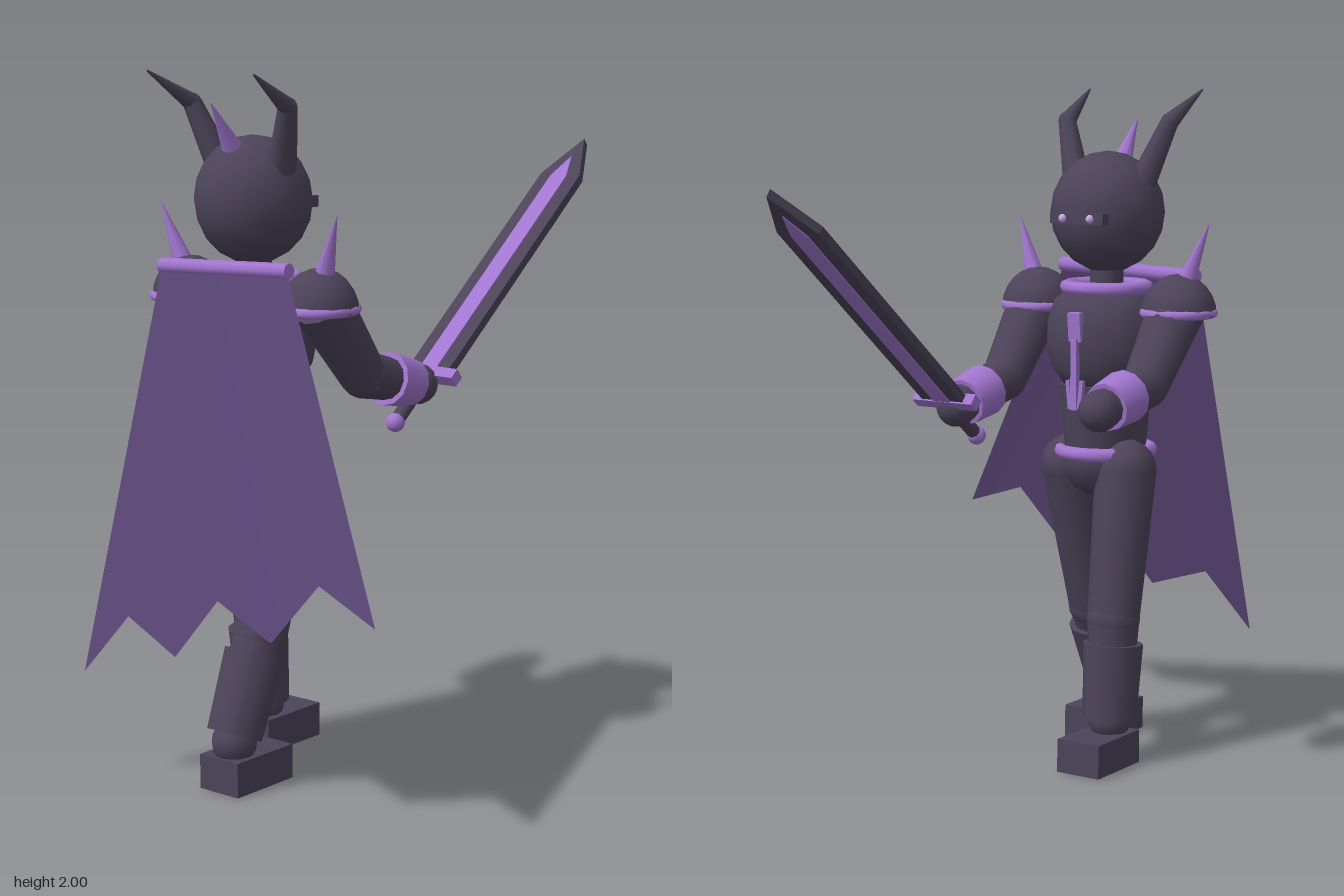
import * as THREE from 'three';

const material = (name, color) => {
  const m = new THREE.MeshStandardMaterial({ color });
  m.name = name;
  return m;
};
const V = (x, y, z) => new THREE.Vector3(x, y, z);

export function createModel() {
  const dark = material('dark armour', 0x4c4359);
  const purple = material('purple trim', 0xa276d0);
  const capeCloth = material('cape cloth', 0x5a4576);
  capeCloth.side = THREE.DoubleSide;
  const glow = material('eye glow', 0xd2a8ee);

  const model = new THREE.Group();
  model.name = 'hornedKnight';
  // The figure faces +x; local z = 0 is its plane of symmetry
  const knight = new THREE.Group();
  knight.name = 'knight';
  knight.position.z = -0.215;
  model.add(knight);

  const add = (name, geo, mat, pos = V(0, 0, 0), parent = knight) => {
    const m = new THREE.Mesh(geo, mat);
    m.name = name;
    m.position.copy(pos);
    parent.add(m);
    return m;
  };
  const ball = (name, mat, p, r, parent) => add(name, new THREE.SphereGeometry(r, 12, 10), mat, p, parent);
  const box = (name, mat, p, w, h, d, parent) => add(name, new THREE.BoxGeometry(w, h, d), mat, p, parent);
  // Tapered cylinder from a to b
  const limb = (name, mat, a, b, ra, rb, sides = 12, parent = knight) => {
    const d = b.clone().sub(a);
    const m = add(name, new THREE.CylinderGeometry(rb, ra, d.length(), sides), mat, a.clone().lerp(b, 0.5), parent);
    m.quaternion.setFromUnitVectors(V(0, 1, 0), d.normalize());
    return m;
  };
  const ring = (name, p, rx, rz, tube) => {
    const geo = new THREE.TorusGeometry(1, tube / rx, 8, 24).rotateX(Math.PI / 2).scale(rx, tube, rz);
    geo.scale(1, rx / tube, 1);
    return add(name, geo, purple, p);
  };

  // Torso
  const chest = [[0, 1.11], [0.125, 1.13], [0.16, 1.18], [0.175, 1.25], [0.172, 1.32], [0.15, 1.38], [0.1, 1.42], [0, 1.43]];
  const chestGeo = new THREE.LatheGeometry(chest.map(([r, y]) => new THREE.Vector2(r, y)), 16);
  add('chest', chestGeo.scale(0.86, 1, 1), dark, V(-0.4, 0, 0));
  add('waist', new THREE.CylinderGeometry(0.162, 0.142, 0.2, 16).scale(1, 1, 0.8), dark, V(-0.422, 1.03, 0));
  add('pelvis', new THREE.SphereGeometry(0.13, 12, 8).scale(1, 0.85, 0.95), dark, V(-0.4, 0.9, 0));
  ring('belt', V(-0.422, 0.928, 0), 0.145, 0.132, 0.021);
  ring('collar', V(-0.42, 1.418, 0), 0.12, 0.12, 0.02);
  limb('neck', dark, V(-0.42, 1.38, 0), V(-0.42, 1.52, 0), 0.05, 0.05);

  // Chest ornament
  box('ornamentTop', purple, V(-0.251, 1.31, 0), 0.022, 0.085, 0.042).rotation.z = -0.1;
  box('ornamentStem', purple, V(-0.247, 1.17, 0), 0.018, 0.21, 0.02);
  for (const s of [-1, 1]) box('ornamentSide', purple, V(-0.25, 1.11, s * 0.02), 0.014, 0.085, 0.012).rotation.x = s * 0.1;

  // Head, visor and crest
  add('head', new THREE.SphereGeometry(0.17, 12, 10).scale(1, 1.06, 1), dark, V(-0.422, 1.64, 0));
  box('visor', dark, V(-0.268, 1.627, 0), 0.04, 0.032, 0.18);
  limb('headSpike', purple, V(-0.49, 1.765, 0), V(-0.59, 1.915, 0), 0.034, 0.001, 8);

  for (const s of [-1, 1]) {
    ball('eye', glow, V(-0.25, 1.627, s * 0.047), 0.013);

    // Horn
    limb('hornBase', dark, V(-0.43, 1.73, s * 0.115), V(-0.475, 1.905, s * 0.178), 0.042, 0.027, 8);
    ball('hornBend', dark, V(-0.475, 1.905, s * 0.178), 0.027);
    limb('hornTip', dark, V(-0.475, 1.905, s * 0.178), V(-0.632, 1.998, s * 0.197), 0.027, 0.003, 8);

    // Shoulder armour
    const z = s * 0.245;
    const dome = new THREE.SphereGeometry(0.112, 12, 6, 0, Math.PI * 2, 0, Math.PI / 2);
    add('pauldron', dome.scale(1, 1.08, 1), dark, V(-0.425, 1.345, z));
    add('pauldronBase', new THREE.CircleGeometry(0.112, 12).rotateX(Math.PI / 2), dark, V(-0.425, 1.345, z));
    ring('pauldronRim', V(-0.425, 1.352, z), 0.108, 0.1, 0.014);
    limb('shoulderSpike', purple, V(-0.43, 1.44, s * 0.265), V(-0.45, 1.615, s * 0.33), 0.03, 0.001, 8);

    // Arm
    const lift = s < 0 ? 0.025 : 0;
    const elbow = V(-0.24, 1.145 + lift * 0.5, z);
    const hand = V(0.008, 1.085 + lift, z);
    limb('upperArm', dark, V(-0.42, 1.37, z), elbow, 0.085, 0.068);
    ball('elbow', dark, elbow, 0.068);
    limb('forearm', dark, elbow, hand, 0.068, 0.055);
    const along = t => elbow.clone().lerp(hand, t);
    limb('bracer', purple, along(0.43), along(0.86), 0.078, 0.07);
    ball('hand', dark, hand, 0.06);
  }

  // Legs: hip, knee, shin armour top and bottom, foot centre
  const legs = [
    { s: 1, hip: [-0.39, 0.88], knee: [-0.525, 0.42], top: [-0.545, 0.37], end: [-0.637, 0.155], foot: -0.585 },
    { s: -1, hip: [-0.375, 0.88], knee: [-0.312, 0.44], top: [-0.312, 0.365], end: [-0.295, 0.14], foot: -0.238 },
  ];
  for (const { s, hip, knee, top, end, foot } of legs) {
    const at = ([x, y]) => V(x, y, s * 0.1);
    ball('hip', dark, at(hip), 0.092);
    limb('thigh', dark, at(hip), at(knee), 0.092, 0.078);
    ball('knee', dark, at(knee), 0.08);
    limb('shin', dark, at(knee), at(end), 0.078, 0.062);
    limb('shinArmour', dark, at(top), at(end), 0.09, 0.08);
    ball('ankle', dark, V(end[0], 0.135, s * 0.1), 0.065);
    box('foot', dark, V(foot, 0.05, s * 0.098), 0.23, 0.1, 0.143);
  }

  // Cape: straight top edge, jagged hem
  const hem = [[0.58, 0.63], [0.36, 0.7], [0.225, 0.53], [0, 0.6], [-0.125, 0.43], [-0.34, 0.5], [-0.48, 0.325]];
  const pos = [], index = [];
  hem.forEach(([z, y], i) => {
    const t = (0.58 - z) / 1.06;
    pos.push(-0.55, 1.465 - 0.02 * t, 0.02 - 0.47 * t, i % 2 ? -0.82 : -0.858, y, z);
    if (i) index.push(2 * i - 2, 2 * i - 1, 2 * i, 2 * i, 2 * i - 1, 2 * i + 1);
  });
  const capeGeo = new THREE.BufferGeometry();
  capeGeo.setAttribute('position', new THREE.Float32BufferAttribute(pos, 3));
  capeGeo.setIndex(index);
  capeGeo.computeVertexNormals();
  add('cape', capeGeo, capeCloth, V(0, 0, 0), model);
  limb('capeBar', purple, V(-0.545, 1.468, 0.025), V(-0.545, 1.448, -0.455), 0.022, 0.022, 8, model);

  // Sword: local x runs from the guard to the tip
  const sword = new THREE.Group();
  sword.name = 'sword';
  sword.position.set(0.052, 1.108, 0.035);
  sword.rotation.z = 0.67;
  model.add(sword);
  const blade = (name, mat, x0, shoulder, tip, w, depth) => {
    const shape = new THREE.Shape([[x0, -w], [shoulder, -w], [tip, 0], [shoulder, w], [x0, w]].map(p => new THREE.Vector2(...p)));
    const geo = new THREE.ExtrudeGeometry(shape, { depth, bevelEnabled: false });
    add(name, geo.translate(0, 0, -depth / 2).rotateX(Math.PI / 2), mat, V(0, 0, 0), sword);
  };
  blade('blade', dark, 0, 0.85, 1.014, 0.072, 0.026);
  blade('bladeInlay', purple, 0.01, 0.84, 0.93, 0.029, 0.034);
  box('guard', purple, V(0, 0, 0), 0.036, 0.036, 0.21, sword);
  limb('grip', dark, V(-0.19, 0, 0), V(0, 0, 0), 0.021, 0.021, 8, sword);
  ball('pommel', purple, V(-0.195, 0, 0), 0.028, sword);

  return model;
}
